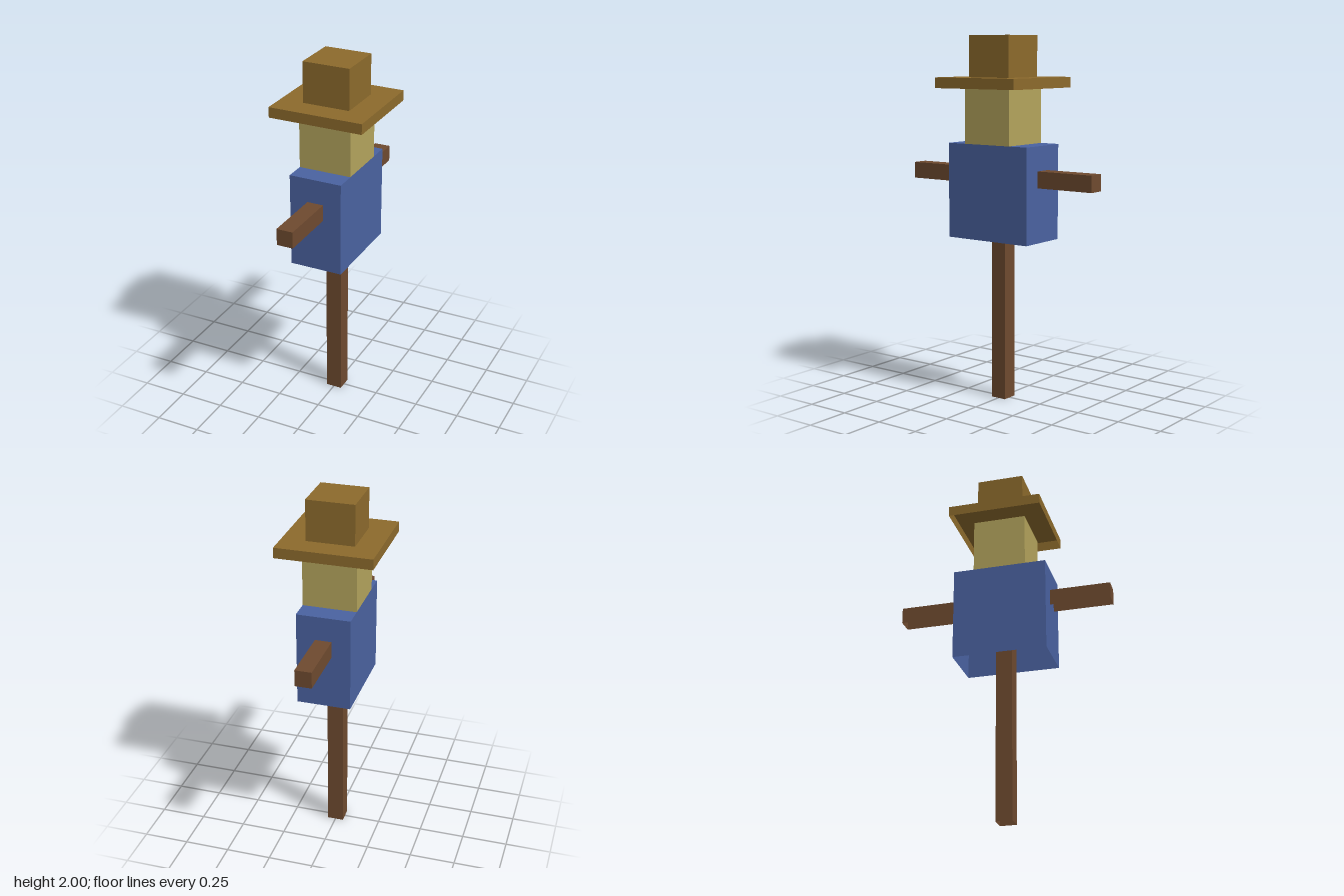
import * as THREE from 'three';

const paint = (name, color) => {
  const m = new THREE.MeshStandardMaterial({ color, side: THREE.DoubleSide });
  m.name = name;
  return m;
};

// Box shell standing on height y0, open underneath
function openBox(w, h, d) {
  const geo = new THREE.BoxGeometry(w, h, d);
  const index = Array.from(geo.index.array);
  index.splice(18, 6); // drop the bottom face
  geo.setIndex(index);
  geo.clearGroups();
  return geo;
}

export function createModel() {
  const wood = paint('wood', 0x6e4a2f);
  const cloth = paint('blueCloth', 0x4a62a0);
  const straw = paint('straw', 0xb3a35c);
  const felt = paint('brownFelt', 0x8c6a2c);

  const model = new THREE.Group();
  model.name = 'scarecrow';

  // name, material, width, depth, bottom, top
  const parts = [
    ['pole', wood, 0.09, 0.09, 0, 1.2],
    ['crossbar', wood, 0.09, 1.195, 1.197, 1.287],
    ['body', cloth, 0.294, 0.522, 0.9, 1.42],
    ['head', straw, 0.294, 0.294, 1.42, 1.72],
    ['hatBrim', felt, 0.522, 0.522, 1.72, 1.777],
    ['hatCrown', felt, 0.262, 0.262, 1.777, 2],
  ];
  for (const [name, material, w, d, bottom, top] of parts) {
    const mesh = new THREE.Mesh(openBox(w, top - bottom, d), material);
    mesh.name = name;
    mesh.position.y = (bottom + top) / 2;
    model.add(mesh);
  }
  return model;
}
